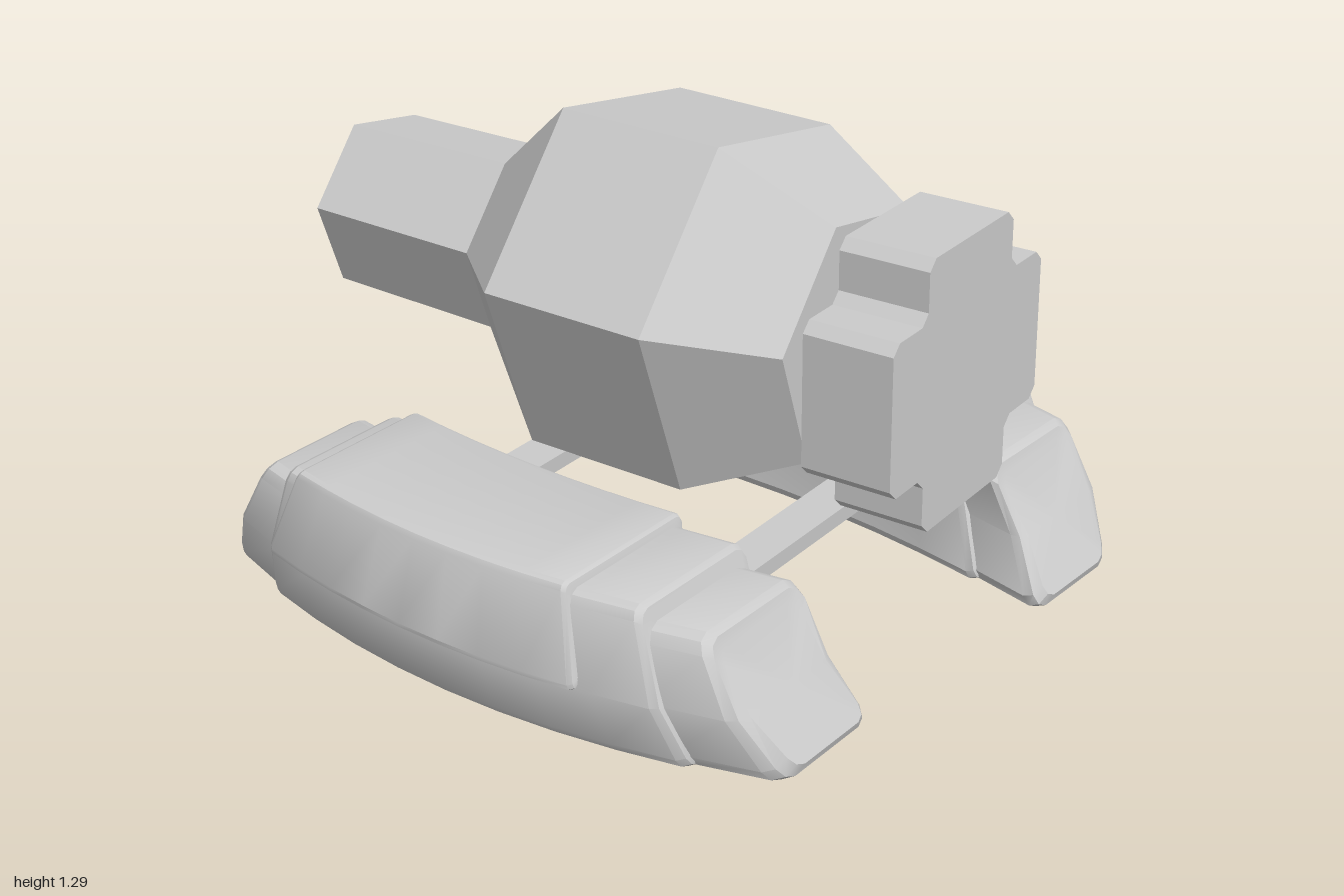
import * as THREE from 'three';
import { toCreasedNormals } from 'three/addons/utils/BufferGeometryUtils.js';

const grey = new THREE.MeshStandardMaterial({ color: 0xcccccc });
const greyFlat = new THREE.MeshStandardMaterial({ color: 0xcccccc, flatShading: true });

function mesh(name, geometry, material = grey) {
  const m = new THREE.Mesh(geometry, material);
  m.name = name;
  return m;
}

// Closed skin over rings that advance along +x, each counterclockwise seen from +x
function loft(rings) {
  const n = rings[0].length, pos = [], index = [];
  rings.forEach(ring => ring.forEach(p => pos.push(...p)));
  for (let i = 0; i < rings.length - 1; i++) {
    for (let j = 0; j < n; j++) {
      const a = i * n + j, b = i * n + (j + 1) % n;
      index.push(a, b, a + n, b, b + n, a + n);
    }
  }
  const last = (rings.length - 1) * n;
  [[0, true], [last, false]].forEach(([start, flip]) => {
    const c = [0, 1, 2].map(k => {
      let sum = 0;
      for (let j = 0; j < n; j++) sum += pos[(start + j) * 3 + k];
      return sum / n;
    });
    const centre = pos.length / 3;
    pos.push(...c);
    for (let j = 0; j < n; j++) {
      const a = start + j, b = start + (j + 1) % n;
      index.push(centre, flip ? b : a, flip ? a : b);
    }
  });
  const g = new THREE.BufferGeometry();
  g.setAttribute('position', new THREE.Float32BufferAttribute(pos, 3));
  g.setIndex(index);
  g.computeVertexNormals();
  return g;
}

// Six-sided hull: [x, radius] stations
function hull() {
  const stations = [[-1, 0.255], [-0.46, 0.262], [-0.19, 0.517], [0.29, 0.515], [0.6, 0.35]];
  return loft(stations.map(([x, r]) => Array.from({ length: 6 }, (_, i) => {
    const a = THREE.MathUtils.degToRad(10 - i * 60);
    return [x, 0.8 + r * Math.sin(a), -0.04 + r * Math.cos(a)];
  })));
}

// Thick plus-shaped plate with clipped corners
function cross() {
  const L = 0.365, s = 0.205, c = 0.028;
  const corners = [[s, L], [s, s], [L, s], [L, -s], [s, -s], [s, -L],
    [-s, -L], [-s, -s], [-L, -s], [-L, s], [-s, s], [-s, L]].map(p => new THREE.Vector2(...p));
  const pts = [];
  corners.forEach((p, i) => {
    const prev = corners[(i + 11) % 12], next = corners[(i + 1) % 12];
    for (const q of [prev, next]) pts.push(q.clone().sub(p).setLength(c).add(p));
  });
  const g = new THREE.ExtrudeGeometry(new THREE.Shape(pts), { depth: 0.25, bevelEnabled: false });
  return g.translate(0, 0, -0.125).rotateY(Math.PI / 2);
}

// Bowed, bevelled block of a skid. left/right: [x at y0, x at y1]; grow: extra thickness
function skidBlock({ y0, y1, left, right, grow, bevel }, side) {
  const ym = (y0 + y1) / 2, steps = 8;
  const ringAt = (u, inset) => {
    const point = (y, outer, dz) => {
      const t = (y - y0) / (y1 - y0);
      const xl = THREE.MathUtils.lerp(left[0], left[1], t);
      const xr = THREE.MathUtils.lerp(right[0], right[1], t);
      const x = THREE.MathUtils.lerp(xl, xr, u);
      const zi = 0.47 - 0.14 * x * x - grow;
      const zo = 0.92 - 0.2 * x * x + grow;
      const zm = (zi + zo) / 2;
      const z = outer ? zo - 0.2 * Math.abs(y - 0.18) - dz : zi + dz;
      const ky = 1 - inset / (ym - y0), kz = 1 - inset / (zo - zm);
      return [x, ym + (y - ym) * ky, side * (zm + (z - zm) * kz)];
    };
    const b = bevel, h = b * 0.3;
    const ring = [
      point(y1, false, b), point(y1, true, b), point(y1 - h, true, h), point(y1 - b, true, 0),
      point(Math.max(0.18, y0 + b), true, 0), point(y0 + b, true, 0.001), point(y0 + h, true, h),
      point(y0, true, b), point(y0, false, b), point(y0 + h, false, h), point(y0 + b, false, 0),
      point(ym, false, 0.02), point(y1 - b, false, 0), point(y1 - h, false, h),
    ];
    return side > 0 ? ring : ring.reverse();
  };
  const e = bevel / (right[0] - left[0]);
  const rings = [ringAt(0, bevel), ringAt(e * 0.3, bevel * 0.3)];
  for (let i = 0; i <= steps; i++) rings.push(ringAt(e + (1 - 2 * e) * i / steps, 0));
  rings.push(ringAt(1 - e * 0.3, bevel * 0.3), ringAt(1, bevel));
  return toCreasedNormals(loft(rings), 0.5);
}

function skid(name, side) {
  const g = new THREE.Group();
  g.name = name;
  const blocks = {
    skidCore: { y0: 0, y1: 0.365, left: [-0.925, -0.735], right: [0.925, 0.735], grow: 0, bevel: 0.04 },
    skidSleeve: { y0: 0.003, y1: 0.412, left: [-0.69, -0.6], right: [0.71, 0.575], grow: 0.018, bevel: 0.03 },
    skidPlate: { y0: 0.175, y1: 0.435, left: [-0.63, -0.53], right: [0.44, 0.385], grow: 0.033, bevel: 0.018 },
  };
  for (const [part, spec] of Object.entries(blocks)) g.add(mesh(part, skidBlock(spec, side)));
  return g;
}

export function createModel() {
  const model = new THREE.Group();
  model.name = 'skidVehicle';

  model.add(mesh('hull', hull(), greyFlat));

  // Shaft and plus-shaped tail plate
  const shaft = mesh('tailShaft', new THREE.CylinderGeometry(0.135, 0.135, 0.12, 16), grey);
  shaft.rotation.z = Math.PI / 2;
  shaft.position.set(0.63, 0.765, -0.075);
  model.add(shaft);
  const tail = mesh('tailPlate', cross(), greyFlat);
  tail.rotation.set(0, -0.0, 0.012);
  tail.rotation.y = 0.015;
  tail.position.set(0.776, 0.767, -0.065);
  model.add(tail);

  // Pair of bowed skids, each slightly skewed
  const front = skid('leftSkid', 1);
  front.position.x = 0.025;
  front.rotation.y = -0.03;
  const back = skid('rightSkid', -1);
  back.position.x = 0.08;
  back.rotation.y = -0.055;
  model.add(front, back);

  // Cross bars joining the skids
  for (const x of [-0.33, 0.46]) {
    const bar = mesh('crossBar', new THREE.BoxGeometry(0.12, 0.045, 1.1), greyFlat);
    bar.position.set(x, 0.224, 0);
    model.add(bar);
  }
  return model;
}
